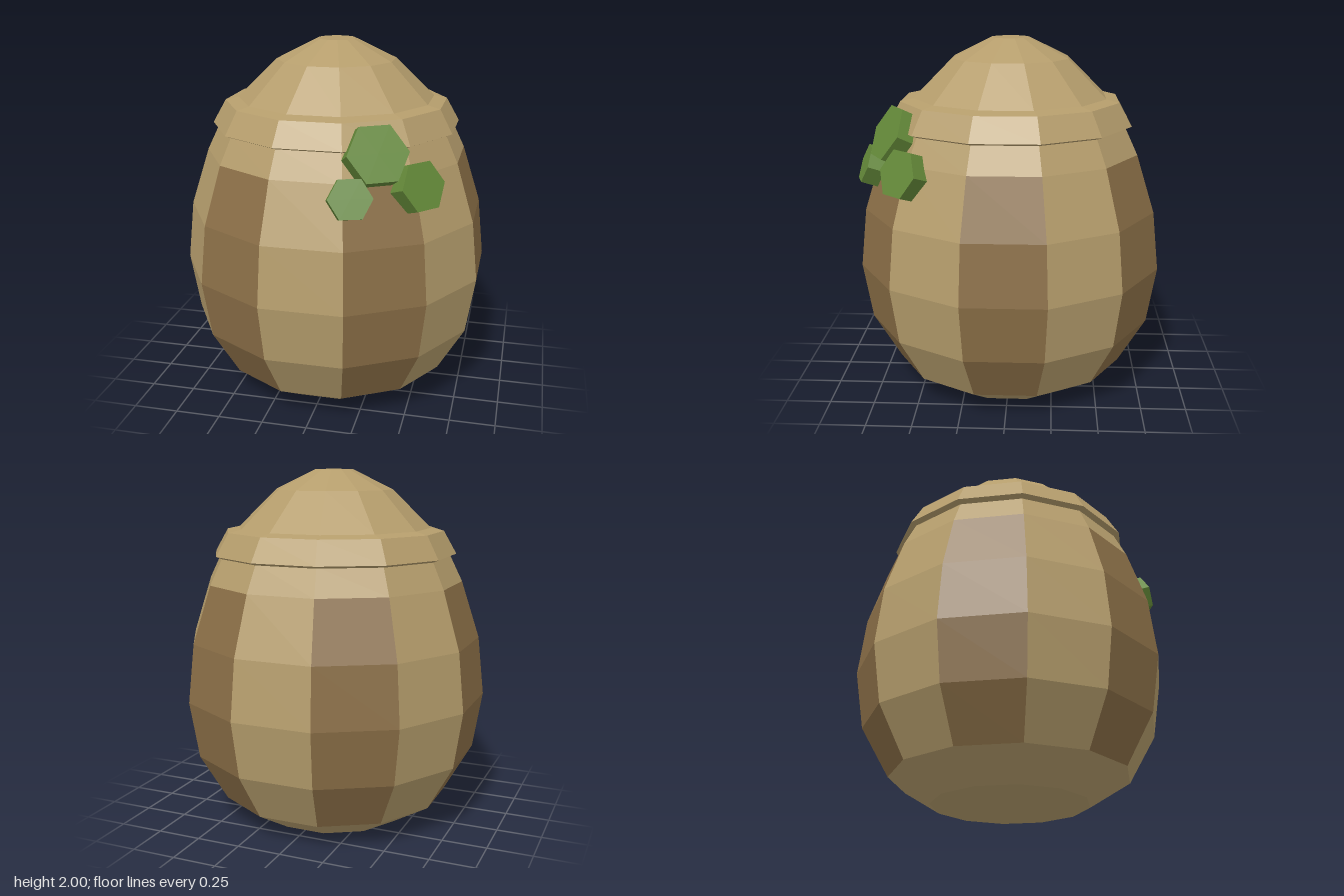
import * as THREE from 'three';

const SIDES = 12;
const STEP = (Math.PI * 2) / SIDES;

function mat(name, color) {
  const m = new THREE.MeshStandardMaterial({ color, flatShading: true });
  m.name = name;
  return m;
}

// Faceted turned shape; profile is [apothem, height] from bottom to top
function turned(name, profile, material, start = STEP / 2, segments = SIDES) {
  const pts = profile.map(([a, y]) => new THREE.Vector2(a / Math.cos(STEP / 2), y));
  const mesh = new THREE.Mesh(new THREE.LatheGeometry(pts, segments, start, segments * STEP), material);
  mesh.name = name;
  return mesh;
}

export function createModel() {
  const tan = mat('tan', 0xb59d6c);
  const brown = mat('brown', 0x8b6f47);
  const green = mat('green', 0x648939);

  const model = new THREE.Group();
  model.name = 'leafyPod';

  // Closed base
  model.add(turned('base', [[0, 0], [0.42, 0], [0.64, 0.14]], tan));

  // Bulging staves, alternating tan and brown
  const staves = new THREE.Group();
  staves.name = 'staves';
  const staveProfile = [[0.64, 0.14], [0.79, 0.41], [0.84, 0.73], [0.805, 1.06], [0.705, 1.38]];
  for (let i = 0; i < SIDES; i++) {
    const odd = i % 2 === 1;
    staves.add(turned(odd ? 'brownStave' : 'tanStave', staveProfile, odd ? brown : tan, (i - 0.5) * STEP, 1));
  }
  model.add(staves);

  // Neck under the lid
  model.add(turned('neck', [[0.705, 1.38], [0.635, 1.53]], tan));

  // Lid with an overhanging rim and a blunt dome
  model.add(turned('lid', [
    [0.59, 1.52], [0.635, 1.52], [0.67, 1.535], [0.6, 1.662],
    [0.53, 1.678], [0.32, 1.89], [0.103, 2], [0, 2],
  ], tan));

  // Thick hexagonal leaves lying on the front of the pod
  const leaves = new THREE.Group();
  leaves.name = 'leaves';
  const deg = THREE.MathUtils.degToRad;
  // front centre, radius, thickness, heading, upward tilt
  [
    [[0.357, 1.53, 0.645], 0.165, 0.108, 30, 27],
    [[0.248, 1.335, 0.79], 0.114, 0.095, 18, 20],
    [[0.575, 1.355, 0.56], 0.138, 0.11, 48, 20],
  ].forEach(([pos, r, t, heading, tilt]) => {
    const geo = new THREE.CylinderGeometry(r, r, t, 6);
    geo.rotateY(Math.PI / 6).rotateX(Math.PI / 2).translate(0, 0, -t / 2);
    const leaf = new THREE.Mesh(geo, green);
    leaf.name = 'leaf';
    leaf.position.set(...pos);
    leaf.rotation.set(-deg(tilt), deg(heading), 0, 'YXZ');
    leaves.add(leaf);
  });
  model.add(leaves);

  return model;
}
